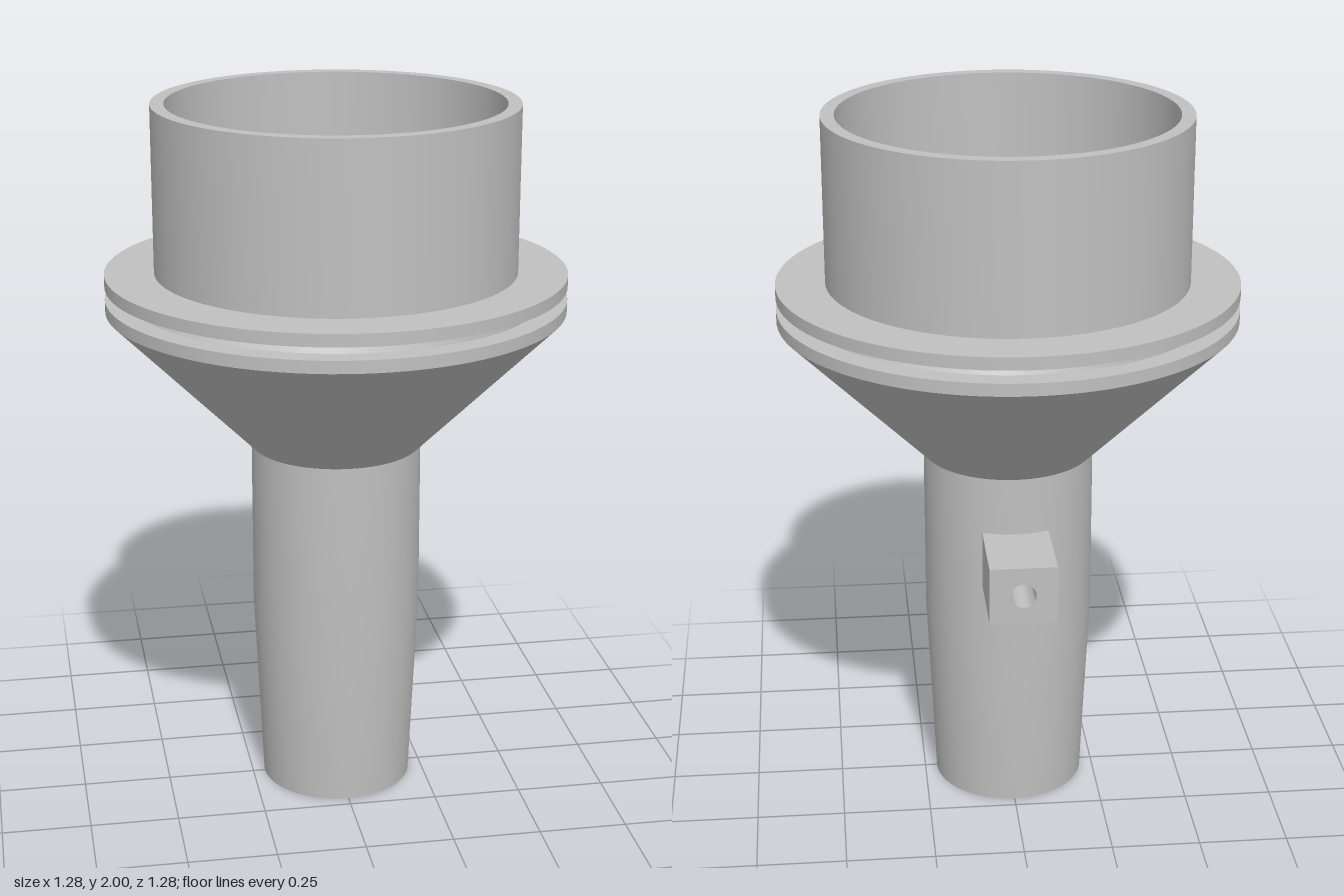
import * as THREE from 'three';
import { toCreasedNormals } from 'three/addons/utils/BufferGeometryUtils.js';

const grey = new THREE.MeshStandardMaterial({ color: 0xc0c0c0 });
grey.name = 'grey';

function add(group, name, geometry) {
  const mesh = new THREE.Mesh(toCreasedNormals(geometry, 0.5), grey);
  mesh.name = name;
  group.add(mesh);
  return mesh;
}

// Turned part from a closed [radius, y] profile, outside going up
function turned(profile) {
  const points = [...profile, profile[0]].map(([r, y]) => new THREE.Vector2(r, y));
  return new THREE.LatheGeometry(points, 96);
}

function circle(x, y, r) {
  return new THREE.Path().absarc(x, y, r, 0, Math.PI * 2, true);
}

export function createModel() {
  const model = new THREE.Group();
  model.name = 'filterFunnel';

  // Upper cup with its flange
  add(model, 'upperCup', turned([
    [0.465, 1.5], [0.64, 1.5], [0.64, 1.535], [0.503, 1.535], [0.503, 2], [0.465, 2],
  ]));

  // Perforated filter plate closing the cup
  const disc = new THREE.Shape().absarc(0, 0, 0.465, 0, Math.PI * 2, false);
  const rowReach = [5, 5, 4, 4, 3, 1];
  rowReach.forEach((reach, row) => {
    for (const side of [-1, 1]) {
      for (let i = -reach; i <= reach; i++) {
        disc.holes.push(circle(i * 0.081, side * (row + 0.5) * 0.0765, 0.024));
      }
    }
  });
  const plate = new THREE.ExtrudeGeometry(disc, { depth: 0.035, bevelEnabled: false, curveSegments: 24 });
  plate.rotateX(-Math.PI / 2).translate(0, 1.5, 0);
  add(model, 'filterPlate', plate);

  // Lower funnel: tapered stem, cone, flange, drip tube and the hollow around it
  add(model, 'lowerFunnel', turned([
    [0.167, 0], [0.215, 0], [0.24, 0.55], [0.24, 1.03], [0.64, 1.43], [0.64, 1.465],
    [0.58, 1.465], [0.063, 0.948], [0.063, 0.05], [0.105, 0.05], [0.105, 0.9],
    [0.19, 0.9], [0.19, 0.55],
  ]));

  // Side port block with its bore, at the back of the stem
  const w = 0.0925, h = 0.0825;
  const face = new THREE.Shape([
    new THREE.Vector2(-w, -h), new THREE.Vector2(w, -h),
    new THREE.Vector2(w, h), new THREE.Vector2(-w, h),
  ]);
  face.holes.push(circle(0, 0, 0.035));
  const port = new THREE.ExtrudeGeometry(face, { depth: 0.26, bevelEnabled: false, curveSegments: 24 });
  add(model, 'sidePort', port).position.set(0, 0.783, -0.46);

  return model;
}
